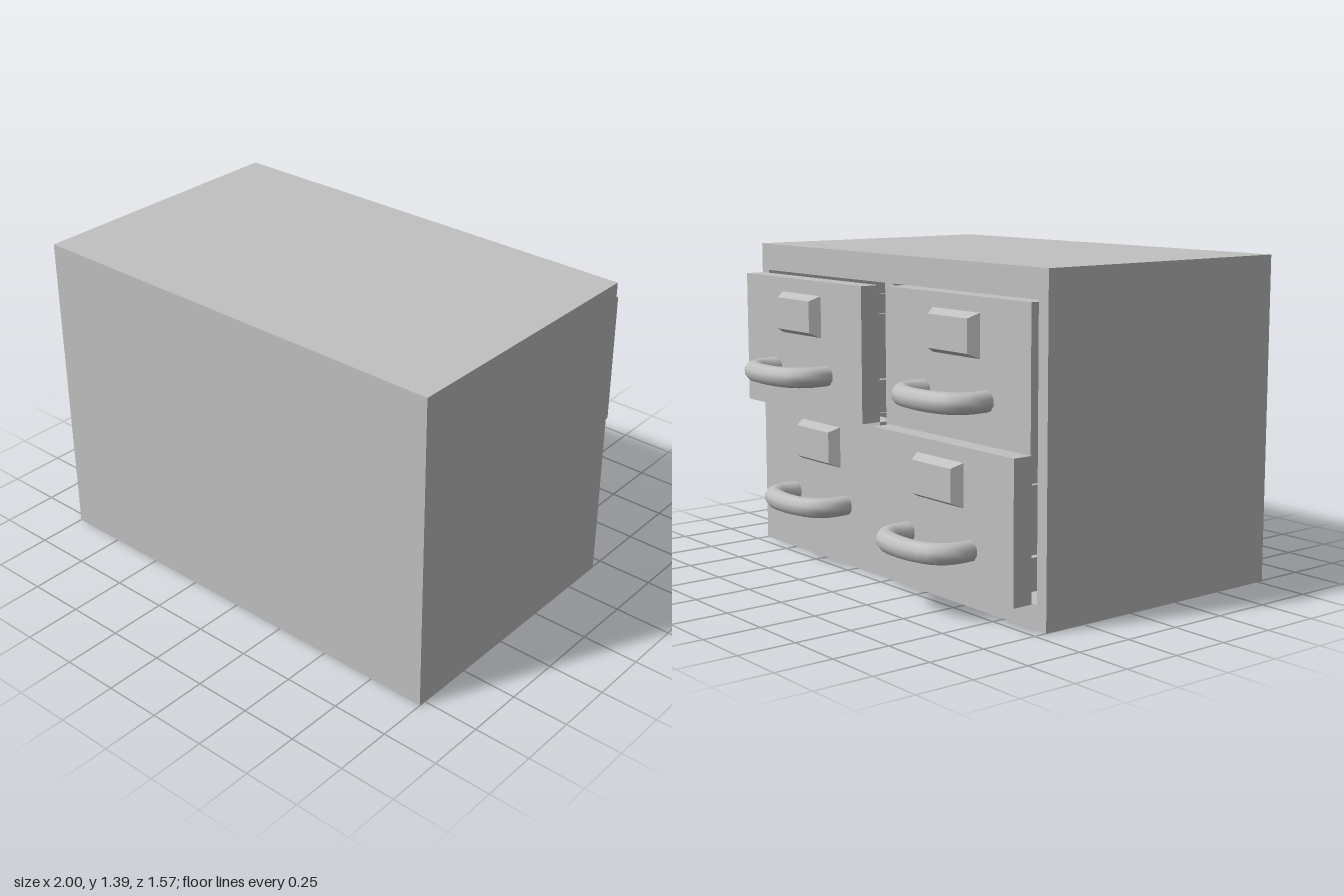
import * as THREE from 'three';

const grey = new THREE.MeshStandardMaterial({ color: 0xc0c0c0 });
grey.name = 'grey metal';

function add(group, name, geometry, x = 0, y = 0, z = 0) {
  const mesh = new THREE.Mesh(geometry, grey);
  mesh.name = name;
  mesh.position.set(x, y, z);
  group.add(mesh);
  return mesh;
}

// Box given by its lower and upper corners
function block(group, name, a, b) {
  const size = b.map((v, i) => v - a[i]);
  return add(group, name, new THREE.BoxGeometry(...size), ...a.map((v, i) => (v + b[i]) / 2));
}

function rect(Type, x0, y0, x1, y1) {
  const path = new Type();
  path.moveTo(x0, y0);
  path.lineTo(x1, y0);
  path.lineTo(x1, y1);
  path.lineTo(x0, y1);
  path.closePath();
  return path;
}

// Label holder: a box whose outer face is smaller than its base
function labelGeometry() {
  const g = new THREE.BoxGeometry(0.3, 0.18, 0.045);
  const p = g.attributes.position;
  for (let i = 0; i < p.count; i++) {
    if (p.getZ(i) > 0) p.setXY(i, p.getX(i) * 0.83, p.getY(i) * 0.76);
  }
  g.computeVertexNormals();
  return g;
}

// Arched pull, standing out along +z
function handleGeometry() {
  const half = [[0.2, -0.02], [0.2, 0.085], [0.158, 0.143], [0.075, 0.173]];
  const points = [
    ...half.map(([x, z]) => new THREE.Vector3(-x, 0, z)),
    ...half.slice().reverse().map(([x, z]) => new THREE.Vector3(x, 0, z)),
  ];
  const curve = new THREE.CatmullRomCurve3(points);
  return new THREE.TubeGeometry(curve, 18, 0.044, 10);
}

const W = 0.905, H = 0.578, T = 0.09;

// Drawer with its lower edge at y = 0 and its front face at z = 0, facing +z
function makeDrawer(name) {
  const d = new THREE.Group();
  d.name = name;
  block(d, 'drawerFront', [-W / 2, 0, -T], [W / 2, H, 0]);
  add(d, 'labelHolder', labelGeometry(), 0, 0.425, 0.0225);
  add(d, 'handle', handleGeometry(), -0.01, 0.175, 0);
  // Tray behind the front
  block(d, 'trayBottom', [-0.4, 0.03, -1.05], [0.4, 0.05, -T]);
  block(d, 'trayBack', [-0.4, 0.05, -1.05], [0.4, 0.45, -1.03]);
  for (const s of [-1, 1]) {
    add(d, 'traySide', new THREE.BoxGeometry(0.02, 0.4, 0.94), s * 0.39, 0.25, -T - 0.47);
    add(d, 'slideRail', new THREE.BoxGeometry(0.03, 0.06, 0.94), s * 0.415, 0.145, -T - 0.47);
  }
  return d;
}

export function createModel() {
  const model = new THREE.Group();
  model.name = 'drawerCabinet';

  // Cabinet shell with one opening per column of drawers
  const shape = rect(THREE.Shape, -1, 0, 1, 1.39);
  shape.holes.push(rect(THREE.Path, -0.945, 0.1, -0.03, 1.27));
  shape.holes.push(rect(THREE.Path, 0.03, 0.1, 0.945, 1.27));
  const shell = new THREE.ExtrudeGeometry(shape, { depth: 1.185, bevelEnabled: false });
  add(model, 'cabinetShell', shell, 0, 0, -0.445);
  block(model, 'cabinetWall', [-1, 0, 0.74], [1, 1.39, 0.78]);

  // Drawers: column centre, lower edge, depth of the front face
  const drawers = [
    ['upperLeftDrawer', 0.483, 0.684, -0.568],
    ['lowerLeftDrawer', 0.483, 0.105, -0.477],
    ['upperRightDrawer', -0.488, 0.684, -0.477],
    ['lowerRightDrawer', -0.488, 0.105, -0.559],
  ];
  for (const [name, x, y, z] of drawers) {
    const d = makeDrawer(name);
    d.rotation.y = Math.PI;
    d.position.set(x, y, z);
    model.add(d);
  }

  // Centre on z
  model.children.forEach((c) => { c.position.z += 0.002; });
  return model;
}
